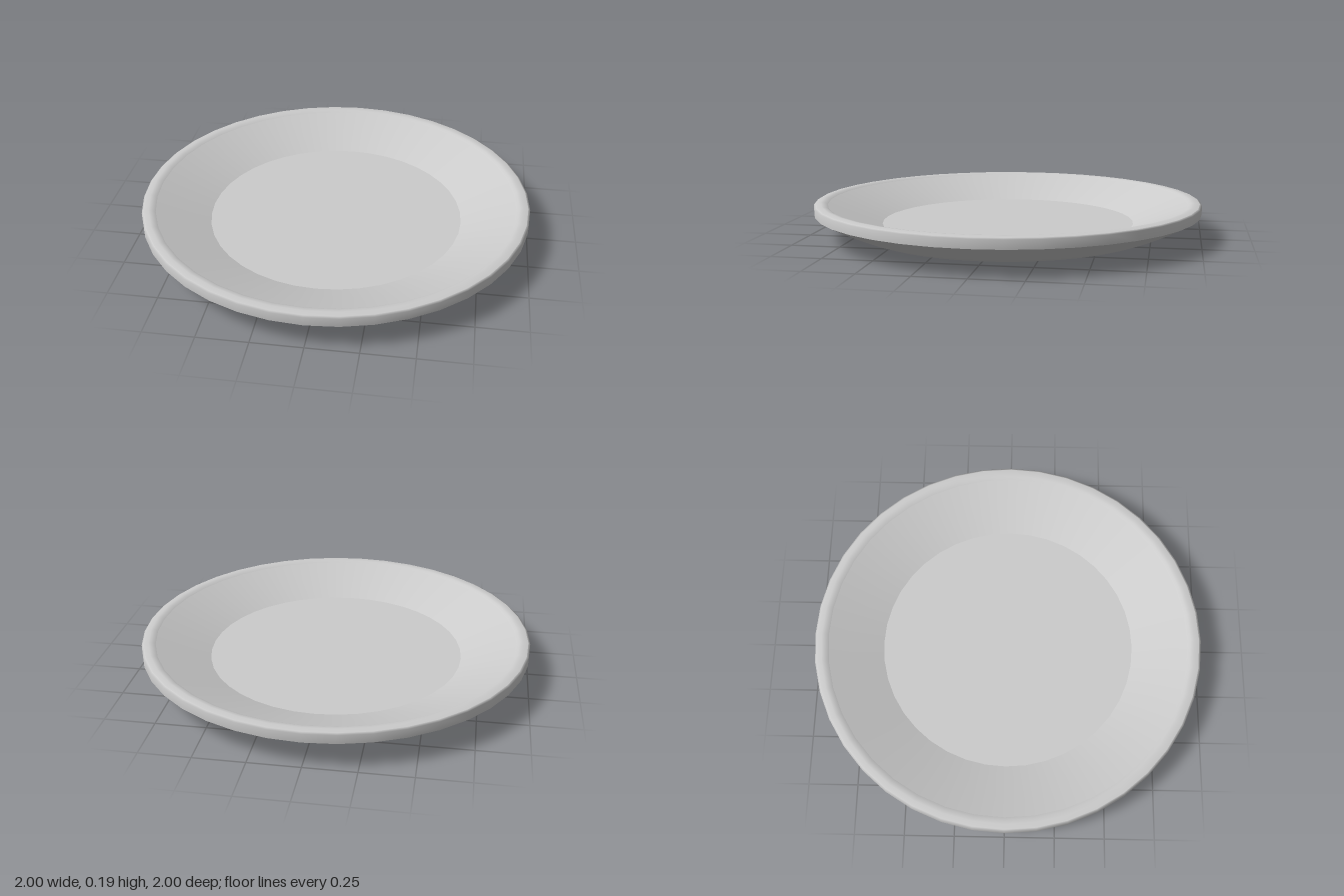
import * as THREE from 'three';

const SIDES = 40;
const material = new THREE.MeshStandardMaterial({ color: 0xcccccc });

// Smooth ring turned from [radius, height] points; separate rings meet in sharp edges
function turned(name, profile) {
  const points = profile.map(([r, y]) => new THREE.Vector2(r, y));
  const mesh = new THREE.Mesh(new THREE.LatheGeometry(points, SIDES), material);
  mesh.name = name;
  return mesh;
}

export function createModel() {
  const plate = new THREE.Group();
  plate.name = 'plate';
  plate.add(
    // flat base, very slightly hollow, flaring out to the rim
    turned('underside', [
      [0, 0.005], [0.52, 0.005], [0.57, 0], [0.65, 0], [0.7, 0.006],
      [0.76, 0.021], [0.83, 0.047], [0.91, 0.084], [1, 0.13],
    ]),
    // upright outer edge
    turned('rimEdge', [[1, 0.13], [1, 0.174], [0.99, 0.18]]),
    // rounded lip
    turned('rimLip', [[0.99, 0.18], [0.965, 0.185], [0.945, 0.182], [0.93, 0.174]]),
    // sloping inner wall
    turned('innerWall', [[0.93, 0.174], [0.655, 0.065]]),
    // flat eating surface
    turned('floor', [[0.655, 0.065], [0, 0.065]]),
  );
  return plate;
}
